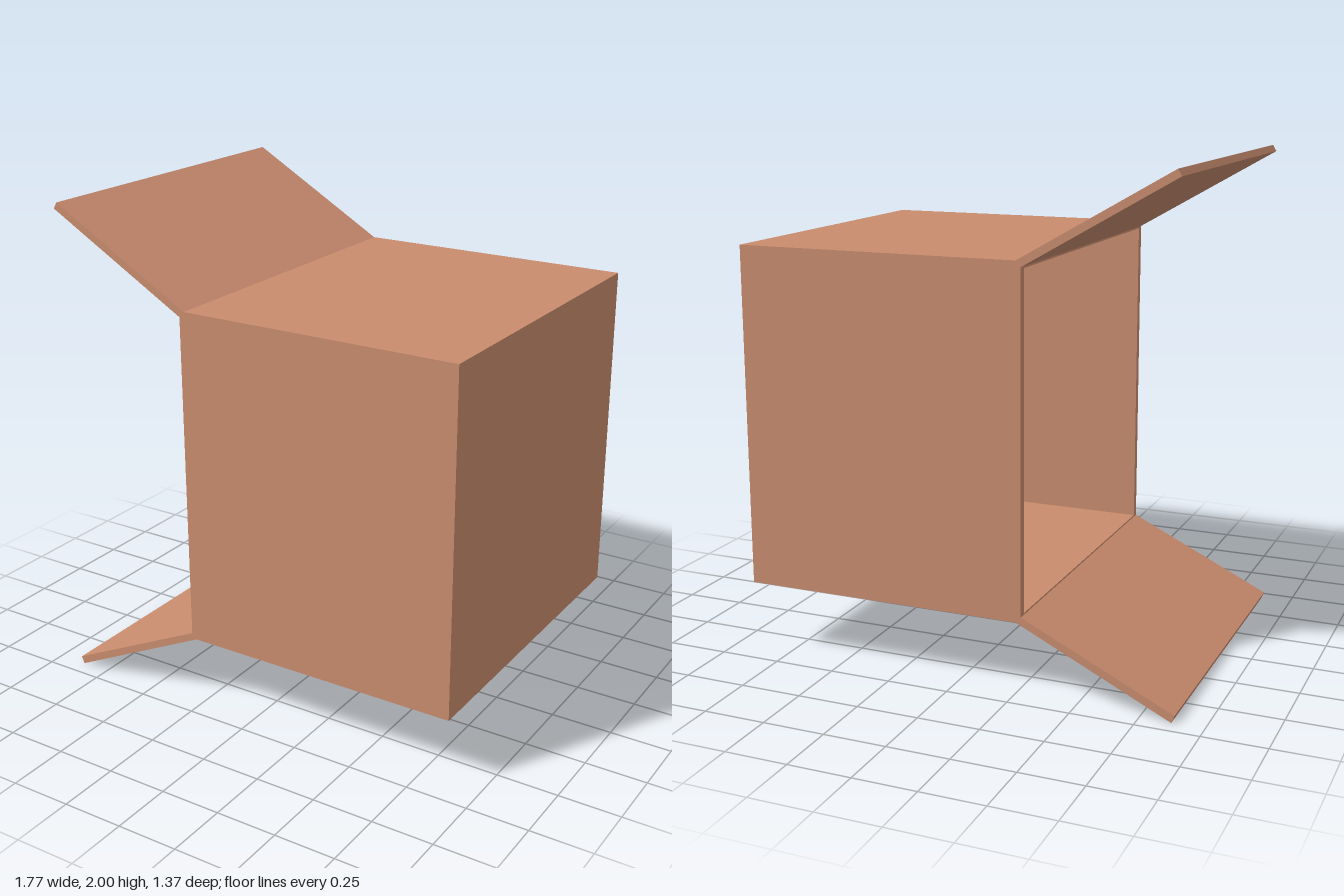
import * as THREE from 'three';

export function createModel() {
  const model = new THREE.Group();
  model.name = 'openBox';
  const material = new THREE.MeshStandardMaterial({ color: 0xc98c6e, flatShading: true });

  const left = -0.28, right = 0.885, bottom = 0.295, top = 1.66;
  const halfDepth = 0.685, wall = 0.03;
  const height = top - bottom, midY = (top + bottom) / 2;

  function add(name, geometry) {
    const mesh = new THREE.Mesh(geometry, material);
    mesh.name = name;
    model.add(mesh);
    return mesh;
  }

  // rectangular outline in a (width, height) plane
  function rectangle(w, h, Type) {
    return new Type([[-w, -h], [w, -h], [w, h], [-w, h]].map(([x, y]) => new THREE.Vector2(x / 2, y / 2)));
  }

  // sleeve of four walls, open on the -x side
  const ring = rectangle(2 * halfDepth, height, THREE.Shape);
  ring.holes.push(rectangle(2 * (halfDepth - wall), height - 2 * wall, THREE.Path));
  const sleeve = add('sideWalls', new THREE.ExtrudeGeometry(ring, { depth: right - wall - left, bevelEnabled: false }));
  sleeve.rotation.y = Math.PI / 2;
  sleeve.position.set(left, midY, 0);

  // closed end on the +x side
  const end = add('endPanel', new THREE.BoxGeometry(wall, height, 2 * halfDepth));
  end.position.set(right - wall / 2, midY, 0);

  // splayed flaps, hinged at the upper and lower edges of the opening
  const flaps = {
    topFlap: [[-0.26, top], [left, top], [left, 1.637], [-0.865, 1.975], [-0.85, 2]],
    bottomFlap: [[-0.26, bottom], [left, bottom], [left, 0.318], [-0.885, 0.03], [-0.873, 0]],
  };
  for (const [name, points] of Object.entries(flaps)) {
    const shape = new THREE.Shape(points.map(([x, y]) => new THREE.Vector2(x, y)));
    const flap = add(name, new THREE.ExtrudeGeometry(shape, { depth: 2 * halfDepth, bevelEnabled: false }));
    flap.position.z = -halfDepth;
  }

  return model;
}
